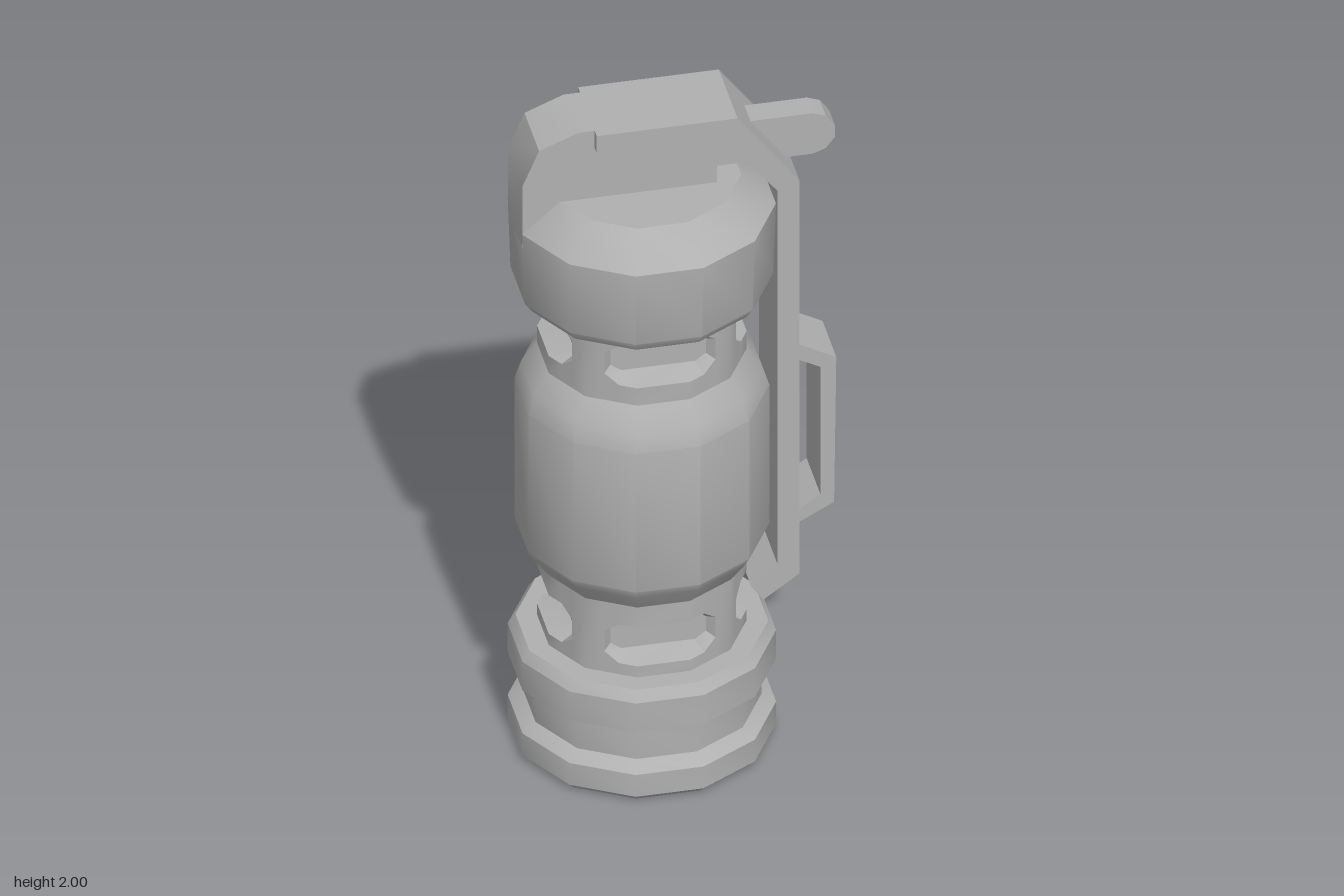
import * as THREE from 'three';
import { toCreasedNormals } from 'three/addons/utils/BufferGeometryUtils.js';

const AXIS_X = -0.088;             // the canister sits off-centre, the lever balances it
const C15 = Math.cos(Math.PI / 12);
const NECK = 0.267;                // distance from axis to the flat sides of the necks

export function createModel() {
  const model = new THREE.Group();
  model.name = 'canister';
  const grey = new THREE.MeshStandardMaterial({ color: 0xb0b0b0 });
  grey.name = 'grey metal';

  const add = (name, geometry, x = 0) => {
    const mesh = new THREE.Mesh(toCreasedNormals(geometry, 0.56), grey);
    mesh.name = name;
    mesh.position.x = x;
    model.add(mesh);
  };

  // Twelve-sided turned part; profile is [distance to flat side, y] from bottom to top
  const turned = (name, profile) => add(name, new THREE.LatheGeometry(
    profile.map(([a, y]) => new THREE.Vector2(a / C15, y)), 12, Math.PI / 12), AXIS_X);

  // Side profile in x and y, extruded evenly across z
  const plate = (name, points, halfWidth) => {
    const shape = new THREE.Shape(points.map(([x, y]) => new THREE.Vector2(x, y)));
    const geo = new THREE.ExtrudeGeometry(shape, { depth: halfWidth * 2, bevelEnabled: false });
    add(name, geo.translate(0, 0, -halfWidth));
  };

  // Main turned parts
  turned('base', [[0, 0], [0.322, 0], [0.342, 0.02], [0.342, 0.09], [0.305, 0.115],
    [0.305, 0.205], [0.342, 0.228], [0.342, 0.32], [0.322, 0.35], [0, 0.35]]);
  turned('body', [[NECK, 0.575], [0.308, 0.635], [0.325, 0.665], [0.325, 1.11],
    [0.308, 1.165], [NECK, 1.225]]);
  turned('cap', [[0, 1.44], [0.315, 1.44], [0.335, 1.47], [0.342, 1.695], [0.253, 1.785], [0, 1.785]]);

  // Necks with four recessed slots
  add('lowerNeck', slottedNeck(0.35, 0.575, 0.448), AXIS_X);
  add('upperNeck', slottedNeck(1.225, 1.44, 1.343), AXIS_X);

  // Head block with a step for the lever
  plate('headBlock', [[-0.43, 1.65], [0.095, 1.65], [0.095, 1.945], [-0.235, 1.945],
    [-0.235, 2], [-0.28, 2], [-0.385, 1.957], [-0.43, 1.85]], 0.09);

  // Safety lever bent over the head and down the side
  plate('lever', [[-0.235, 1.945], [0.105, 1.945], [0.253, 1.75], [0.253, 0.548], [0.183, 0.484],
    [0.215, 0.44], [0.312, 0.51], [0.312, 1.775], [0.145, 2], [-0.235, 2]], 0.115);

  // Bracket on the outside of the lever
  plate('leverBracket', [[0.31, 0.65], [0.412, 0.705], [0.418, 1.17], [0.31, 1.23],
    [0.31, 1.18], [0.375, 1.145], [0.375, 0.735], [0.31, 0.69]], 0.085);

  // Rounded pin through the lever
  plate('pin', [[0.09, 1.8], [0.365, 1.8], [0.4, 1.813], [0.425, 1.845], [0.425, 1.882],
    [0.4, 1.917], [0.365, 1.93], [0.09, 1.93]], 0.037);

  return model;
}

// Twelve-sided band between y0 and y1 with an eight-cornered pocket on each of four sides
function slottedNeck(y0, y1, yMid) {
  const bend = NECK * Math.tan(Math.PI / 12);
  const corner = NECK / C15 * Math.SQRT1_2;
  const slope = (NECK - corner) / (corner - bend);
  const surface = u => NECK - Math.max(0, Math.abs(u) - bend) * slope;
  const half = 0.0625, cut = 0.03, floor = 0.2;
  const columns = [[-0.15, half - cut], [-0.115, half], [-bend, half],
    [bend, half], [0.115, half], [0.15, half - cut]];
  const pos = [];

  for (let k = 0; k < 4; k++) {
    const cos = [1, 0, -1, 0][k], sin = [0, 1, 0, -1][k];
    const tri = (...pts) => pts.forEach(([u, y, d]) => pos.push(u * cos + d * sin, y, d * cos - u * sin));
    const quad = (a, b, c, d) => { tri(a, b, c); tri(a, c, d); };
    const at = (u, y) => [u, y, surface(u)];

    // Solid posts beside the slot
    quad(at(-corner, y0), at(-0.15, y0), at(-0.15, y1), at(-corner, y1));
    quad(at(0.15, y0), at(corner, y0), at(corner, y1), at(0.15, y1));

    // Strips below and above the slot
    for (let i = 0; i < columns.length - 1; i++) {
      const [u, h] = columns[i], [v, g] = columns[i + 1];
      quad(at(u, y0), at(v, y0), at(v, yMid - g), at(u, yMid - h));
      quad(at(u, yMid + h), at(v, yMid + g), at(v, y1), at(u, y1));
    }

    // Tapered pocket walls and floor
    const loop = [...columns.map(([u, h]) => [u, -h]), ...columns.map(([u, h]) => [u, h]).reverse()];
    const rim = loop.map(([u, h]) => at(u, yMid + h));
    const inner = loop.map(([u, h]) => [u * 0.86, yMid + h * 0.72, floor]);
    loop.forEach((_, i) => {
      const j = (i + 1) % loop.length;
      quad(rim[i], rim[j], inner[j], inner[i]);
      tri(inner[i], inner[j], [0, yMid, floor]);
    });
  }
  const geo = new THREE.BufferGeometry();
  geo.setAttribute('position', new THREE.Float32BufferAttribute(pos, 3));
  return geo;
}
